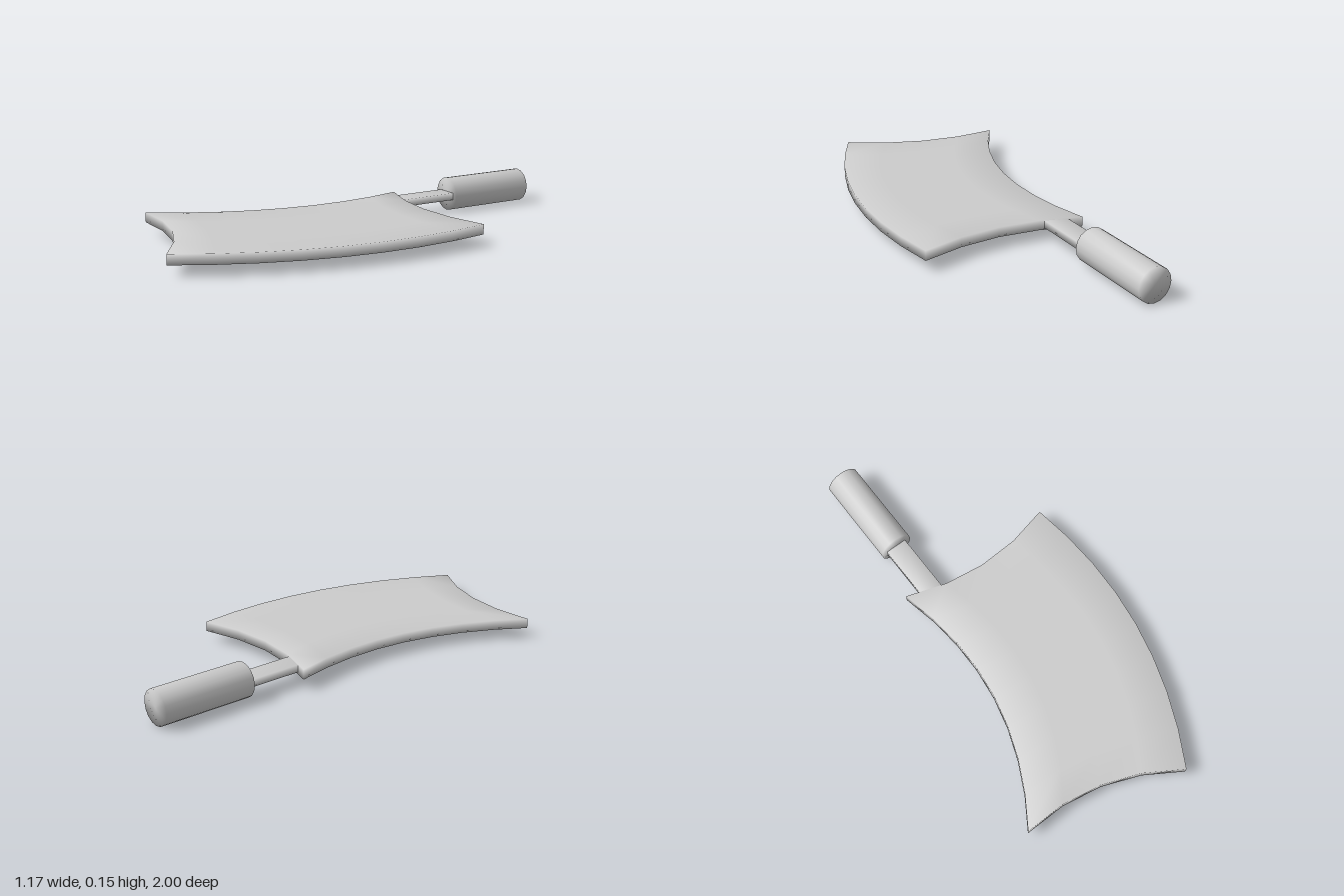
import * as THREE from 'three';
import { mergeVertices } from 'three/addons/utils/BufferGeometryUtils.js';

const material = new THREE.MeshStandardMaterial({ color: 0xcccccc });

// Welds all corners so the shading flows softly over the edges.
function softMesh(geometry, name) {
  geometry.deleteAttribute('normal');
  geometry.deleteAttribute('uv');
  const welded = mergeVertices(geometry, 1e-4);
  welded.computeVertexNormals();
  const mesh = new THREE.Mesh(welded, material);
  mesh.name = name;
  return mesh;
}

// Outline curves in (x, z).
const curve = (a, b, c) => new THREE.QuadraticBezierCurve(
  new THREE.Vector2(...a), new THREE.Vector2(...b), new THREE.Vector2(...c));
const backLeft = [0.585, -0.18], backRight = [-0.09, -0.40];
const frontLeft = [0.01, 0.995], frontRight = [-0.59, 0.63];
const backEdge = curve(backRight, [0.207, -0.166], backLeft);
const frontEdge = curve(frontRight, [-0.221, 0.695], frontLeft);
const innerEdge = curve(backRight, [-0.097, 0.233], frontRight);
const outerEdge = curve(backLeft, [0.522, 0.515], frontLeft);

// Flat slab stretched between the four curved edges.
function createBlade() {
  const geometry = new THREE.BoxGeometry(1, 0.043, 1, 4, 1, 8);
  const p = geometry.attributes.position;
  const corner = (u, v) => new THREE.Vector2(...backRight).multiplyScalar((1 - u) * (1 - v))
    .addScaledVector(new THREE.Vector2(...backLeft), u * (1 - v))
    .addScaledVector(new THREE.Vector2(...frontRight), (1 - u) * v)
    .addScaledVector(new THREE.Vector2(...frontLeft), u * v);
  for (let i = 0; i < p.count; i++) {
    const u = p.getX(i) + 0.5, v = p.getZ(i) + 0.5;
    const q = backEdge.getPoint(u).multiplyScalar(1 - v)
      .addScaledVector(frontEdge.getPoint(u), v)
      .addScaledVector(innerEdge.getPoint(v), 1 - u)
      .addScaledVector(outerEdge.getPoint(v), u)
      .sub(corner(u, v));
    p.setXYZ(i, q.x, p.getY(i) + 0.067, q.y);
  }
  return softMesh(geometry, 'blade');
}

export function createModel() {
  const group = new THREE.Group();
  group.name = 'cleaver';
  group.add(createBlade());

  // Shank and grip share one tilted axis that starts at the grip's front end.
  const handle = new THREE.Group();
  handle.name = 'handle';
  handle.position.set(0.071, 0.075, -0.585);
  handle.rotation.y = -0.27;

  const shank = softMesh(new THREE.BoxGeometry(0.095, 0.032, 0.32), 'shank');
  shank.position.set(0, -0.005, 0.13);

  const grip = softMesh(new THREE.CylinderGeometry(0.075, 0.075, 0.41, 16).rotateX(Math.PI / 2), 'grip');
  grip.position.z = -0.205;

  handle.add(shank, grip);
  group.add(handle);
  return group;
}
